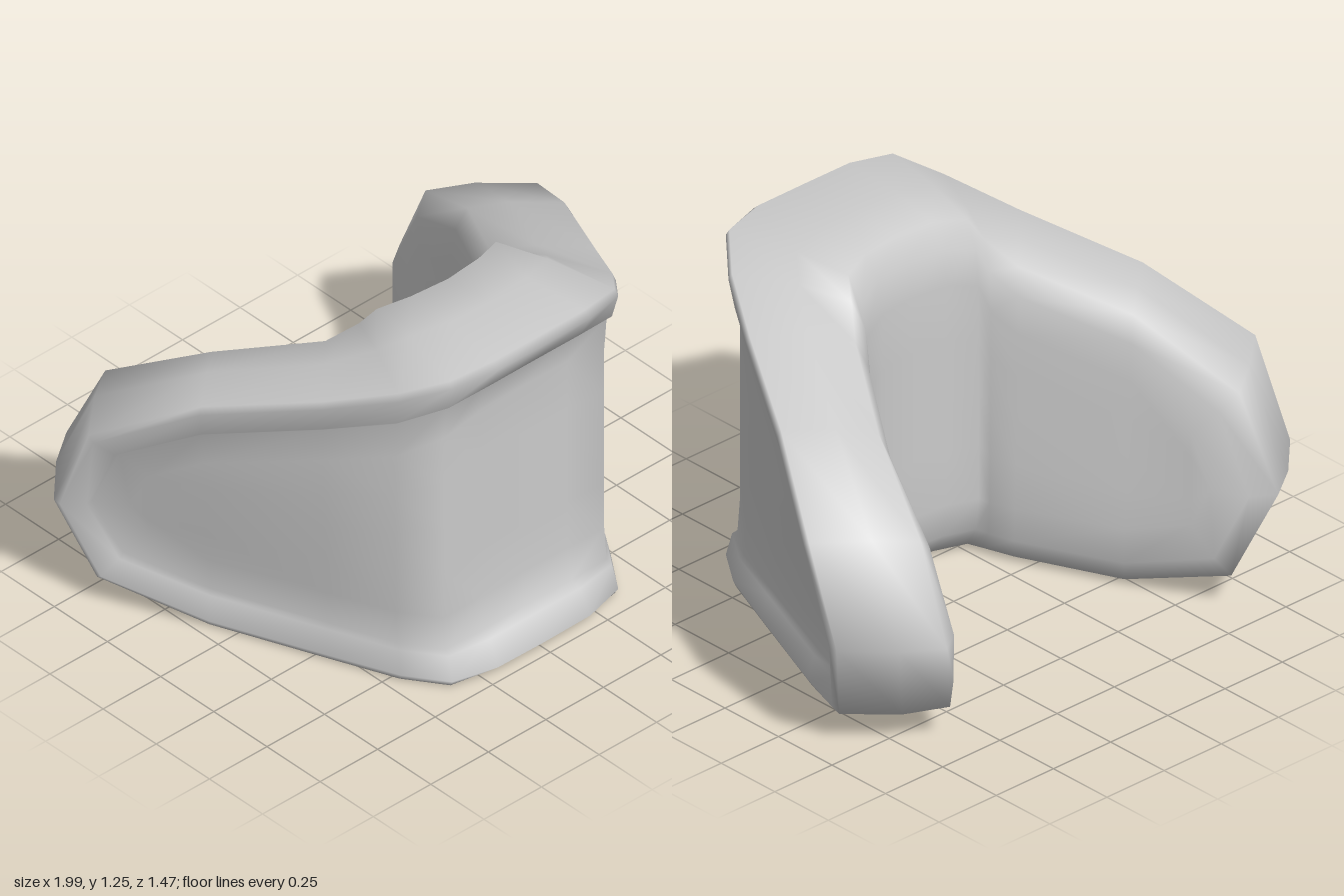
import * as THREE from 'three';

// Half of the U, from the middle to the tip:
// outer x,z / inner x,z / top y / bottom y / inward lean of the foot / recess of the outer panel
const HALF = [
  [0, 0.725, 0, 0.2, 1.25, 0, 0, 1],
  [0.2, 0.722, 0.14, 0.185, 1.25, 0, 0, 0.9],
  [0.36, 0.68, 0.245, 0.145, 1.235, 0, 0, 0.5],
  [0.47, 0.55, 0.265, 0.11, 1.17, 0, 0.015, 0.5],
  [0.6, 0.33, 0.32, 0.04, 1.08, 0, 0.05, 0.6],
  [0.8, -0.03, 0.52, -0.275, 0.96, 0, 0.1, 0.7],
  [0.99, -0.36, 0.66, -0.64, 0.755, 0.105, 0.1, 0.75],
  [1.05, -0.48, 0.738, -0.775, 0.42, 0.42, 0.1, 0.8],
];

// Rim profile from the outer panel to the inner panel: inset from outline, depth (0 outer, 1 inner)
const RIM = [
  [0.25, 0.2], [0.13, 0.165], [0.115, 0.09], [0.028, 0], [0.006, 0.05],
  [0, 0.5], [0.02, 0.87], [0.1, 0.97], [0.22, 1],
];
const ROWS = 4;

// Mirrored stations with u = distance along the middle of the band
let u = 0;
const half = HALF.map((s, i) => {
  if (i) {
    const p = HALF[i - 1];
    u += Math.hypot(s[0] + s[2] - p[0] - p[2], s[1] + s[3] - p[1] - p[3]) / 2;
  }
  return {
    u, o: [s[0], s[1]], i: [s[2], s[3]], top: s[4], bottom: s[5], lean: s[6], recess: s[7],
  };
});
const mirror = (s) => ({ ...s, u: -s.u, o: [-s.o[0], s.o[1]], i: [-s.i[0], s.i[1]] });
const stations = [...half.slice(1).reverse().map(mirror), ...half];

// Place a point of the unrolled band on the bent U, leaning the lower wings inward
function bend(pu, y, depth) {
  const { lerp, clamp } = THREE.MathUtils;
  let k = 0;
  while (k < stations.length - 2 && pu > stations[k + 1].u) k++;
  const a = stations[k], b = stations[k + 1];
  const f = (pu - a.u) / (b.u - a.u);
  const d = depth > 0.2 ? depth : depth * lerp(a.recess, b.recess, f);
  const at = (c) => lerp(lerp(a.o[c], b.o[c], f), lerp(a.i[c], b.i[c], f), d);
  const lean = lerp(a.lean, b.lean, f) * clamp((0.75 - y) / 0.65, 0, 1);
  return [at(0) - Math.sign(pu) * 0.86 * lean, y, at(1) - 0.51 * lean];
}

// Shrink the clockwise outline: straight up or down along the band, mitred around the tips
function inset(outline, e) {
  const n = outline.length;
  const normal = (a, b) => new THREE.Vector2(b.y - a.y, a.x - b.x).normalize();
  return outline.map((p, j) => {
    const n1 = normal(outline[(j + n - 1) % n], p);
    const n2 = normal(p, outline[(j + 1) % n]);
    const m = n1.clone().add(n2).normalize();
    if (Math.abs(p.x) < half[6].u - 0.01) return new THREE.Vector2(p.x, p.y + e / m.y);
    return p.clone().addScaledVector(m, e / Math.max(0.75, m.dot(n1)));
  });
}

function bandGeometry() {
  const M = stations.length;
  const outline = [
    ...stations.map((s) => new THREE.Vector2(s.u, s.top)),
    ...stations.slice(1, -1).reverse().map((s) => new THREE.Vector2(s.u, s.bottom)),
  ];
  const n = outline.length;
  const pos = [], index = [];
  const tri = (a, b, c) => {
    if (a !== b && b !== c && a !== c) index.push(a, b, c);
  };
  const quad = (a, b, c, d) => { tri(a, b, c); tri(a, c, d); };

  // Rim: one ring per profile point
  const rings = RIM.map(([e, depth]) => {
    const ring = inset(outline, e);
    ring.forEach((p) => pos.push(...bend(p.x, p.y, depth)));
    return ring;
  });
  for (let k = 0; k < RIM.length - 1; k++)
    for (let j = 0; j < n; j++) {
      const a = k * n + j, b = k * n + ((j + 1) % n);
      quad(a, b, b + n, a + n);
    }

  // Panels: columns from the top to the bottom of the first and last ring
  const panel = (k, outward) => {
    const ring = rings[k], depth = RIM[k][1];
    const columns = stations.map((s, i) => {
      const tip = i === 0 || i === M - 1;
      const j = tip ? i : 2 * M - 2 - i;
      const column = [k * n + i];
      for (let r = 1; r < ROWS; r++) {
        if (tip) { column.push(k * n + i); continue; }
        const p = ring[i].clone().lerp(ring[j], r / ROWS);
        column.push(pos.length / 3);
        pos.push(...bend(p.x, p.y, depth));
      }
      column.push(k * n + j);
      return column;
    });
    for (let i = 0; i < M - 1; i++)
      for (let r = 0; r < ROWS; r++) {
        const a = columns[i][r], b = columns[i][r + 1];
        const c = columns[i + 1][r + 1], d = columns[i + 1][r];
        if (outward) quad(a, b, c, d);
        else quad(d, c, b, a);
      }
  };
  panel(0, true);
  panel(RIM.length - 1, false);

  const g = new THREE.BufferGeometry();
  g.setAttribute('position', new THREE.Float32BufferAttribute(pos, 3));
  g.setIndex(index);
  g.computeVertexNormals();
  return g;
}

export function createModel() {
  const group = new THREE.Group();
  group.name = 'curvedGuard';
  const band = new THREE.Mesh(
    bandGeometry(),
    new THREE.MeshStandardMaterial({ color: 0xcccccc })
  );
  band.name = 'rimmedBand';
  group.add(band);
  return group;
}
